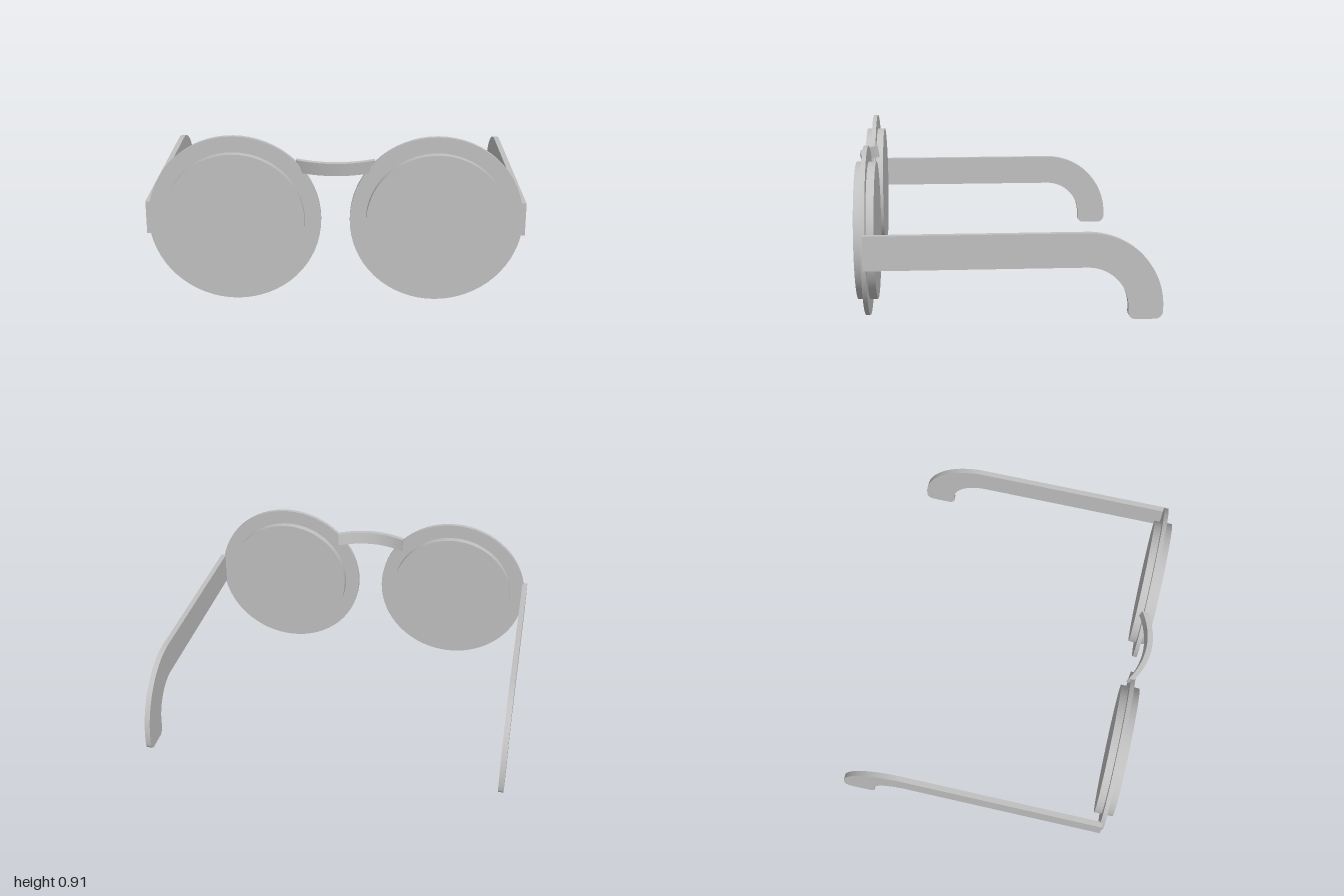
import * as THREE from 'three';
import { toCreasedNormals } from 'three/addons/utils/BufferGeometryUtils.js';

const grey = new THREE.MeshStandardMaterial({ color: 0xc0c0c0 });
grey.name = 'grey';

function part(name, geometry) {
  const mesh = new THREE.Mesh(geometry, grey);
  mesh.name = name;
  return mesh;
}

// Disc facing +z, between two depths
function disc(radius, zBack, zFront) {
  const g = new THREE.CylinderGeometry(radius, radius, zFront - zBack, 64);
  g.rotateX(Math.PI / 2);
  g.translate(0, 0, (zBack + zFront) / 2);
  return g;
}

// Side arm: straight bar that curls down behind the ear (profile x runs backwards)
function templeGeometry() {
  const s = new THREE.Shape();
  s.moveTo(-0.73, 0.37);
  s.lineTo(0.4, 0.37);
  s.absarc(0.4, 0.155, 0.215, Math.PI / 2, 0, true);
  s.lineTo(0.615, 0.13);
  s.absarc(0.655, 0.13, 0.04, Math.PI, Math.PI * 1.5, false);
  s.absarc(0.755, 0.13, 0.04, Math.PI * 1.5, Math.PI * 2, false);
  s.lineTo(0.795, 0.155);
  s.absarc(0.4, 0.155, 0.395, 0, Math.PI / 2, false);
  s.lineTo(-0.73, 0.55);
  s.closePath();
  const g = new THREE.ExtrudeGeometry(s, { depth: 0.03, bevelEnabled: false, curveSegments: 24 });
  g.rotateY(Math.PI / 2);
  return toCreasedNormals(g, 0.5);
}

// Nose bridge: bowed strip in plan, its top leaning slightly forward
function bridgeGeometry() {
  const front = [], back = [], n = 24;
  for (let i = 0; i <= n; i++) {
    const x = -0.205 + 0.41 * i / n;
    const z = 0.795 - 1.45 * x * x;
    front.push(new THREE.Vector2(x, z));
    back.unshift(new THREE.Vector2(x, z - 0.03));
  }
  const g = new THREE.ExtrudeGeometry(new THREE.Shape([...front, ...back]), { depth: 0.07, bevelEnabled: false });
  g.rotateX(Math.PI / 2);
  const p = g.attributes.position;
  for (let i = 0; i < p.count; i++) p.setZ(i, p.getZ(i) + 0.17 * p.getY(i));
  g.translate(0, 0.785, 0);
  return toCreasedNormals(g, 0.5);
}

export function createModel() {
  const model = new THREE.Group();
  model.name = 'roundGlasses';

  const rim = disc(0.455, 0.716, 0.74);
  const lens = disc(0.37, 0.675, 0.78);
  const temple = templeGeometry();

  for (const [side, name] of [[1, 'left'], [-1, 'right']]) {
    const eye = new THREE.Group();
    eye.name = name + 'Eyepiece';
    eye.position.set(side * 0.53, 0.457, 0);
    eye.add(part(name + 'Rim', rim), part(name + 'Lens', lens));

    const arm = part(name + 'Temple', temple);
    arm.position.x = side > 0 ? 0.97 : -1;
    model.add(eye, arm);
  }

  model.add(part('bridge', bridgeGeometry()));
  return model;
}
